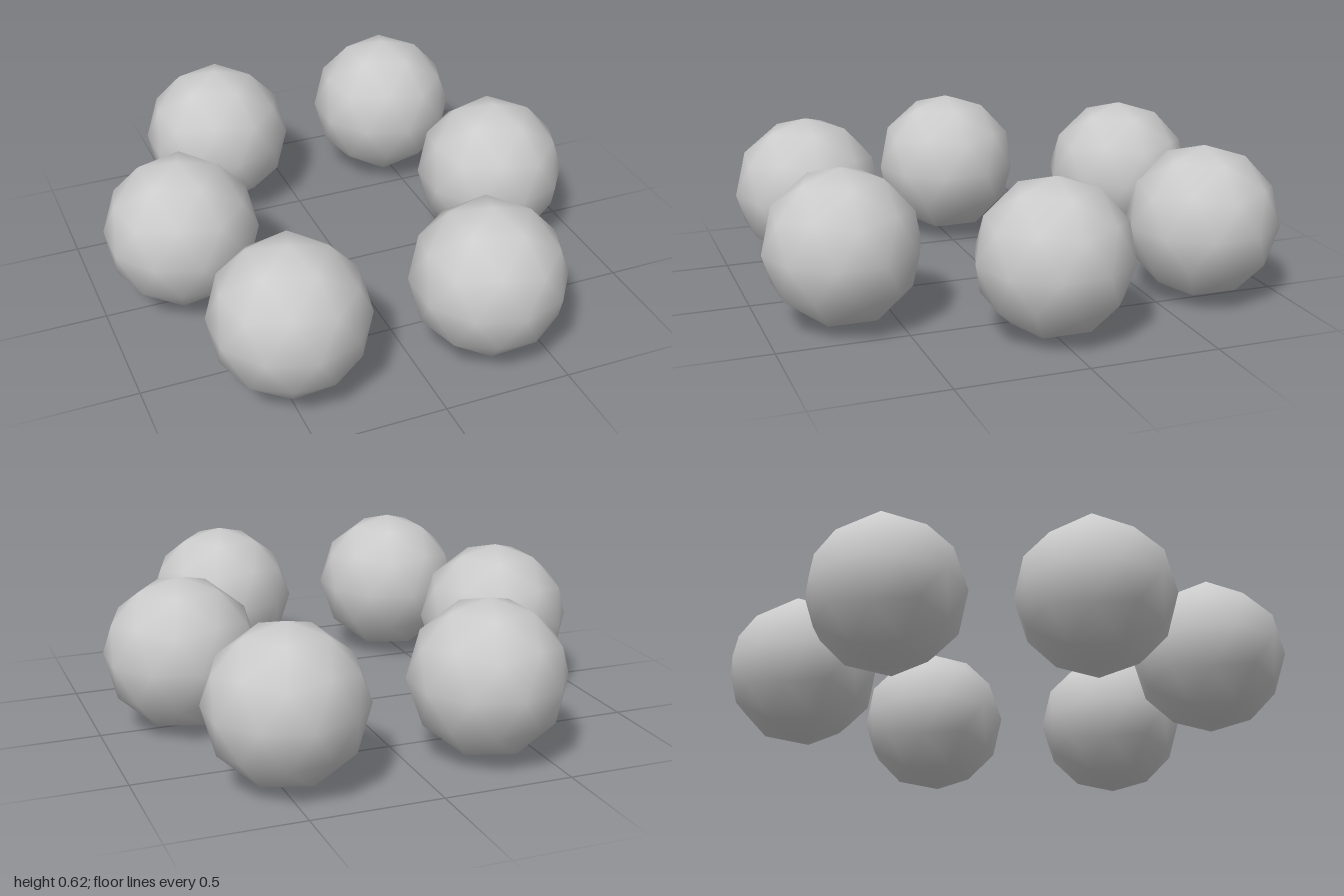
import * as THREE from 'three';

export function createModel() {
  const model = new THREE.Group();
  model.name = 'ballRing';

  const material = new THREE.MeshStandardMaterial({ color: 0xcccccc });

  // Low-poly ball with smooth normals, turned so a corner points straight up
  const radius = 0.302;
  const ballGeometry = new THREE.IcosahedronGeometry(radius, 1);
  ballGeometry.rotateZ(-Math.atan(2 / (1 + Math.sqrt(5))));

  // Ball centres around a loose hexagon, slightly uneven in height
  const centres = [
    [-0.305, 0.309, -0.697],
    [0.475, 0.307, -0.697],
    [0.667, 0.302, 0.002],
    [0.305, 0.306, 0.697],
    [-0.467, 0.311, 0.65],
    [-0.667, 0.315, -0.024],
  ];
  centres.forEach(([x, y, z], i) => {
    const ball = new THREE.Mesh(ballGeometry, material);
    ball.name = `ball${i + 1}`;
    ball.position.set(x, y, z);
    model.add(ball);
  });

  return model;
}
